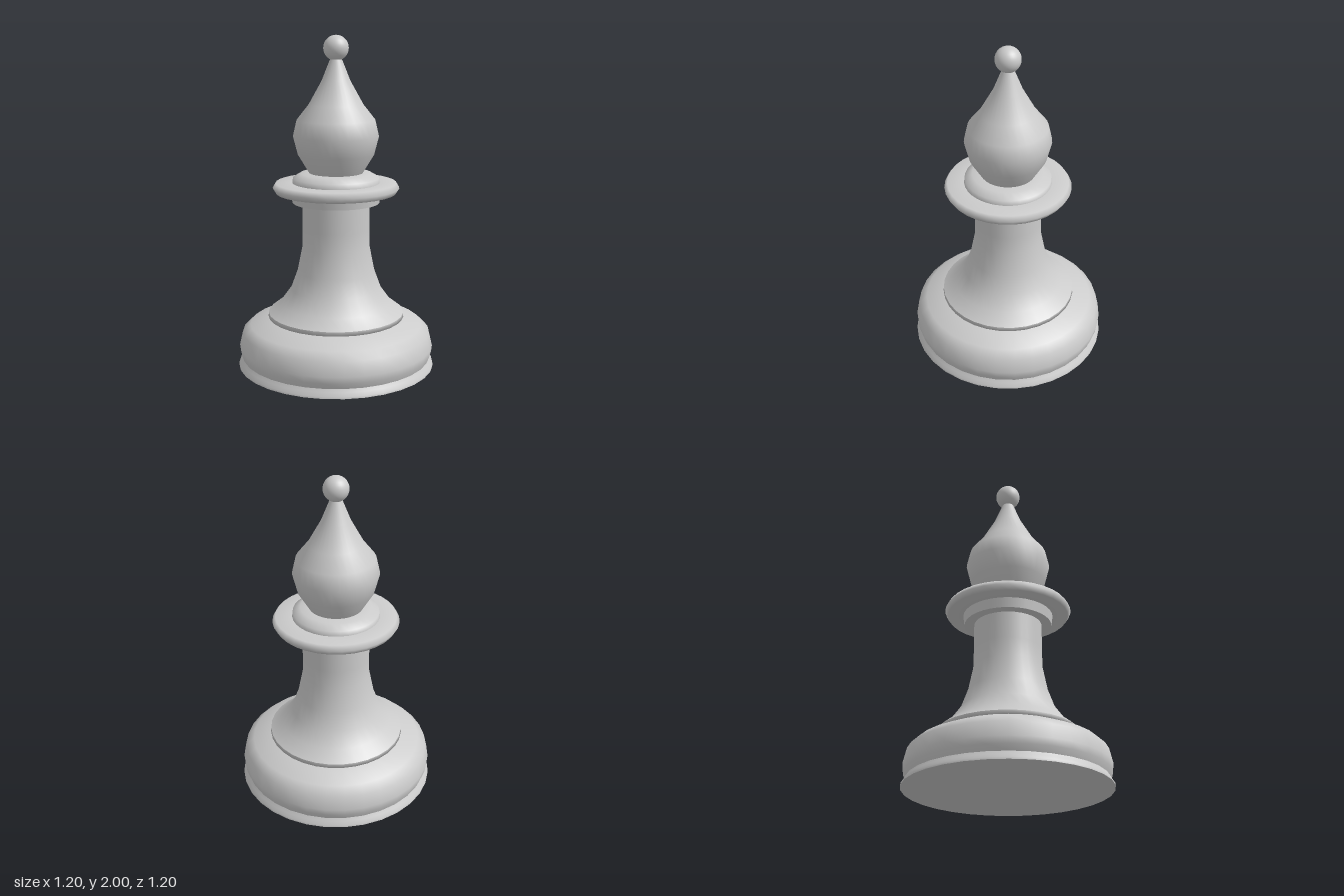
import * as THREE from 'three';

const SIDES = 32;

export function createModel() {
  const group = new THREE.Group();
  const material = new THREE.MeshStandardMaterial({ color: 0xcccccc, side: THREE.DoubleSide });

  function add(name, geometry, y = 0) {
    const mesh = new THREE.Mesh(geometry, material);
    mesh.name = name;
    mesh.position.y = y;
    group.add(mesh);
  }

  // Turned part: [radius, height] pairs from bottom to top
  function turn(name, profile) {
    add(name, new THREE.LatheGeometry(profile.map(([r, y]) => new THREE.Vector2(r, y)), SIDES));
  }

  // Foot: flat underside, thin rim and rounded base
  turn('underside', [[0, 0], [0.6, 0]]);
  turn('footRim', [[0.6, 0], [0.598, 0.012], [0.585, 0.032], [0.575, 0.05]]);
  turn('base', [[0.575, 0.05], [0.588, 0.085], [0.593, 0.125], [0.573, 0.21], [0.525, 0.255], [0.415, 0.303], [0.38, 0.31]]);

  // Stem flaring out over a small ledge
  turn('ledge', [[0.38, 0.303], [0.415, 0.303], [0.413, 0.328]]);
  turn('stem', [[0.413, 0.328], [0.34, 0.385], [0.275, 0.475], [0.235, 0.585], [0.205, 0.735], [0.203, 0.85], [0.203, 1.01]]);

  // Collar: tapered ring, wide disc and rounded step
  turn('collarUnderside', [[0.2, 1.01], [0.262, 1.01]]);
  turn('collarRing', [[0.262, 1.01], [0.27, 1.07]]);
  turn('collarDisc', [[0.27, 1.07], [0.362, 1.07], [0.38, 1.1], [0.362, 1.13], [0.262, 1.13]]);
  turn('collarStep', [[0.262, 1.13], [0.258, 1.16], [0.212, 1.187], [0.15, 1.19]]);

  // Head with pointed top and ball finial
  turn('head', [[0.16, 1.187], [0.228, 1.3], [0.256, 1.41], [0.234, 1.505], [0.163, 1.595], [0.085, 1.735], [0.035, 1.86]]);
  add('finial', new THREE.SphereGeometry(0.075, SIDES, 16), 1.925);

  return group;
}
